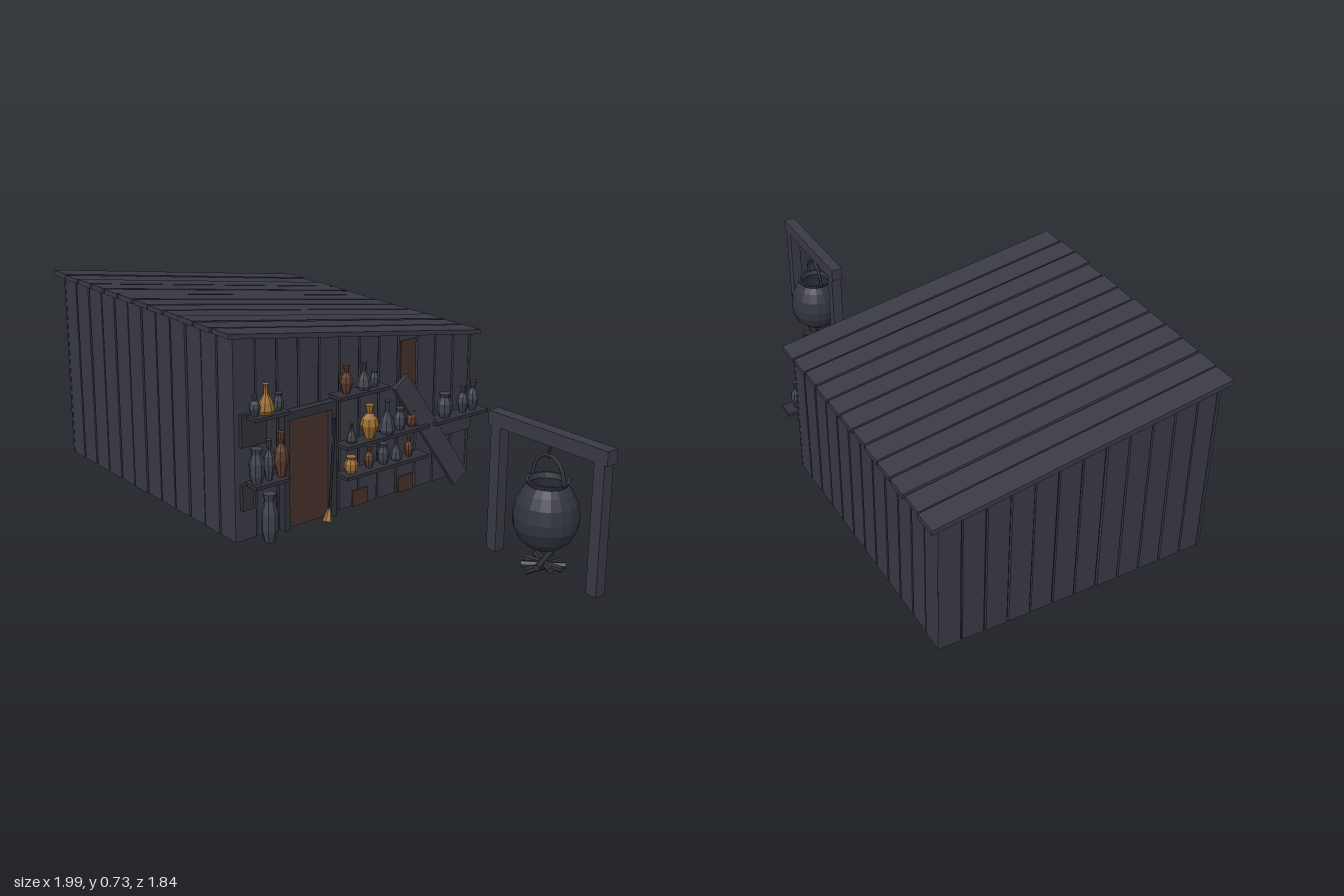
import * as THREE from 'three';

const mat = (name, color) => {
  const m = new THREE.MeshStandardMaterial({ color });
  m.name = name;
  return m;
};

export function createModel() {
  const wood = mat('slate wood', 0x3a3a46);
  const shade = mat('dark gap', 0x212127);
  const trim = mat('dark trim wood', 0x30303a);
  const brown = mat('brown wood', 0x46302a);
  const iron = mat('iron', 0x32343f);
  const glass = mat('grey glass', 0x3f424d);
  const amber = mat('amber glass', 0x5c3a2b);
  const gold = mat('gold glass', 0x9a6c30);

  const model = new THREE.Group();
  // Everything is laid out square, then turned 45 degrees: x along the shop front, z outwards
  const yard = new THREE.Group();
  yard.name = 'yard';
  yard.rotation.y = Math.PI / 4;
  model.add(yard);

  let seed = 7;
  const rnd = () => (seed = (seed * 16807) % 2147483647) / 2147483647;

  const add = (name, geo, m, parent = yard) => {
    const mesh = new THREE.Mesh(geo, m);
    mesh.name = name;
    parent.add(mesh);
    return mesh;
  };
  const faceted = (g) => {
    const f = g.toNonIndexed();
    f.computeVertexNormals();
    return f;
  };
  // Box from its limits
  const box = (name, m, x0, x1, y0, y1, z0, z1, parent) => {
    const b = add(name, new THREE.BoxGeometry(x1 - x0, y1 - y0, z1 - z0), m, parent);
    b.position.set((x0 + x1) / 2, (y0 + y1) / 2, (z0 + z1) / 2);
    return b;
  };
  // Side outline pushed from z0 to z1
  const prism = (name, m, pts, z0, z1, parent) => {
    const s = new THREE.Shape(pts.map((p) => new THREE.Vector2(...p)));
    const p = add(name, new THREE.ExtrudeGeometry(s, { depth: z1 - z0, bevelEnabled: false }), m, parent);
    p.position.z = z0;
    return p;
  };
  const rod = (name, m, a, b, r0, r1, sides, parent) => {
    const A = new THREE.Vector3(...a), B = new THREE.Vector3(...b);
    const d = B.clone().sub(A);
    const c = add(name, faceted(new THREE.CylinderGeometry(r1, r0, d.length(), sides)), m, parent);
    c.position.copy(A).add(B).multiplyScalar(0.5);
    c.quaternion.setFromUnitVectors(new THREE.Vector3(0, 1, 0), d.normalize());
    return c;
  };

  // Shed walls: dark core clad in planks
  const L = -0.58, R = 0.474, B = -0.775, F = 0.32, T = 0.012, N = 12;
  const roofY = (x) => 0.725 - 0.156 * (x + 0.615);
  const under = (x) => roofY(x) - 0.021;
  const shed = new THREE.Group();
  shed.name = 'shed';
  yard.add(shed);
  prism('wallCore', shade, [[L + T, 0], [R - T, 0], [R - T, under(R - T)], [L + T, under(L + T)]], B + T, F - T, shed);
  const gap = 0.004;
  for (let i = 0; i < N; i++) {
    const a = L + ((R - L) * i) / N + (i ? gap : 0), b = L + ((R - L) * (i + 1)) / N - (i < N - 1 ? gap : 0);
    const outline = [[a, 0], [b, 0], [b, under(b)], [a, under(a)]];
    prism('frontPlank', wood, outline, F - T, F - 0.004 * rnd(), shed);
    prism('backPlank', wood, outline, B + 0.004 * rnd(), B + T, shed);
    const c = B + ((F - B) * i) / N + (i ? gap : 0), d = B + ((F - B) * (i + 1)) / N - (i < N - 1 ? gap : 0);
    box('tallSidePlank', wood, L + 0.004 * rnd(), L + T, 0, under(L), c, d, shed);
    box('lowSidePlank', wood, R - T, R - 0.004 * rnd(), 0, under(R), c, d, shed);
  }

  // Sloping roof boards with uneven ends
  const z0 = -0.798, z1 = 0.338, pitch = (z1 - z0) / N;
  for (let i = 0; i < N; i++) {
    const a = -0.615 + 0.008 * rnd(), b = 0.507 - 0.01 * rnd(), lift = -0.005 * rnd();
    prism('roofBoard', wood,
      [[a, under(a)], [b, under(b)], [b, roofY(b) + lift], [a, roofY(a) + lift]],
      z0 + i * pitch + (i ? gap : 0), z0 + (i + 1) * pitch - (i < N - 1 ? gap : 0), shed);
  }

  // Brown replacement planks on the front
  box('brownPlank', brown, 0.13, 0.2, 0.27, 0.565, F, F + 0.004);
  box('brownPatch', brown, 0.13, 0.2, 0, 0.06, F, F + 0.004);
  box('brownPatch', brown, -0.085, -0.015, 0, 0.06, F, F + 0.004);

  // Door with frame
  box('door', brown, -0.38, -0.2, 0, 0.39, F, F + 0.009);
  for (const x of [-0.4, -0.2]) box('doorPost', trim, x, x + 0.022, 0, 0.39, F, F + 0.03);
  box('doorLintel', trim, -0.4, -0.178, 0.39, 0.418, F, F + 0.03);

  // Broom beside the door
  rod('broomStick', trim, [-0.22, 0.05, 0.365], [-0.19, 0.36, 0.352], 0.005, 0.005, 6);
  rod('broomHead', gold, [-0.235, 0, 0.37], [-0.22, 0.04, 0.362], 0.018, 0.006, 6);

  // Wall shelves: left, right, top edge height
  for (const [a, b, y] of [[-0.54, -0.4, 0.437], [-0.54, -0.4, 0.205], [-0.19, 0.03, 0.437],
    [-0.16, 0.22, 0.255], [-0.16, 0.22, 0.145], [0.25, 0.51, 0.255]])
    box('shelf', trim, a, b, y - 0.012, y, F, 0.385);
  box('shelfBackBoard', trim, -0.56, -0.46, 0.33, 0.44, F, 0.335);
  box('shelfBackBoard', trim, -0.56, -0.515, 0.11, 0.2, F, 0.335);
  box('shelfBackBoard', wood, 0.25, 0.46, 0.18, 0.243, F, 0.345);

  // Leaning board
  const lean = add('leaningBoard', new THREE.BoxGeometry(0.075, 0.49, 0.018), wood);
  lean.position.set(0.243, 0.222, 0.362);
  lean.rotation.set(-0.09, 0, 0.575);

  // Bottles: radius and height fractions for each kind
  const kinds = {
    flask: [[0, 0], [0.8, 0], [1, 0.12], [0.75, 0.4], [0.3, 0.65], [0.25, 0.92], [0.4, 1], [0, 1]],
    jar: [[0, 0], [0.65, 0], [1, 0.25], [1, 0.6], [0.6, 0.85], [0.8, 1], [0, 1]],
    vase: [[0, 0], [0.5, 0], [1, 0.4], [0.8, 0.6], [0.3, 0.75], [0.5, 1], [0, 1]],
  };
  const bottle = (kind, m, x, y, r, h, z = 0.352) => {
    const pts = kinds[kind].map(([a, b]) => new THREE.Vector2(a * r, b * h));
    add(kind, faceted(new THREE.LatheGeometry(pts, 8)), m).position.set(x, y, z);
  };
  for (const b of [
    // upper left and lower left shelves
    ['flask', gold, -0.475, 0.437, 0.03, 0.1], ['jar', glass, -0.425, 0.437, 0.017, 0.06],
    ['vase', glass, -0.52, 0.437, 0.02, 0.07],
    ['jar', glass, -0.515, 0.205, 0.026, 0.12], ['vase', glass, -0.465, 0.205, 0.021, 0.14],
    ['vase', amber, -0.415, 0.205, 0.027, 0.155],
    // shelf over the middle
    ['vase', amber, -0.14, 0.437, 0.024, 0.1], ['flask', glass, -0.062, 0.437, 0.027, 0.095],
    ['jar', glass, -0.015, 0.437, 0.016, 0.06],
    // middle shelf
    ['flask', glass, -0.115, 0.255, 0.02, 0.07], ['vase', gold, -0.035, 0.255, 0.033, 0.12],
    ['flask', glass, 0.045, 0.255, 0.03, 0.12], ['jar', glass, 0.105, 0.255, 0.022, 0.08],
    ['jar', amber, 0.16, 0.255, 0.018, 0.06],
    // lower shelf
    ['jar', gold, -0.116, 0.145, 0.024, 0.06], ['vase', amber, -0.035, 0.145, 0.02, 0.08],
    ['jar', glass, 0.03, 0.145, 0.021, 0.075], ['flask', glass, 0.09, 0.145, 0.022, 0.085],
    ['vase', amber, 0.15, 0.145, 0.018, 0.075],
    // right shelf
    ['jar', glass, 0.32, 0.255, 0.028, 0.09], ['vase', glass, 0.41, 0.255, 0.023, 0.1],
    ['vase', glass, 0.46, 0.255, 0.024, 0.11],
    // jar standing on the ground
    ['jar', glass, -0.484, 0, 0.029, 0.17, 0.378],
  ]) bottle(...b);

  // Cauldron gallows
  const fire = new THREE.Group();
  fire.name = 'cauldronStand';
  fire.position.set(0.057, 0, 1.087);
  yard.add(fire);
  box('beam', wood, -0.022, 0.022, 0.425, 0.472, -0.241, 0.241, fire);
  for (const s of [-1, 1]) box('post', wood, -0.02, 0.02, 0, 0.425, s * 0.21 - 0.02, s * 0.21 + 0.02, fire);
  rod('hook', iron, [0, 0.375, 0], [0, 0.43, 0], 0.005, 0.005, 6, fire);

  // Cauldron, open at the top with an inner wall
  const pot = [[0, 0.08], [0.05, 0.086], [0.084, 0.115], [0.102, 0.155], [0.105, 0.19], [0.097, 0.235],
    [0.08, 0.27], [0.063, 0.292], [0.07, 0.307], [0.06, 0.307], [0.055, 0.29], [0.08, 0.22], [0, 0.2]];
  add('cauldron', faceted(new THREE.LatheGeometry(pot.map((p) => new THREE.Vector2(...p)), 18)), iron, fire);
  const arc = new THREE.CatmullRomCurve3([[-0.066, 0.3], [-0.056, 0.345], [-0.03, 0.377], [0, 0.386],
    [0.03, 0.377], [0.056, 0.345], [0.066, 0.3]].map(([a, y]) => new THREE.Vector3(a * 0.7071, y, -a * 0.7071)));
  // the handle faces the viewer midway between beam and front
  const handle = add('handle', new THREE.TubeGeometry(arc, 16, 0.006, 6), iron, fire);
  handle.rotation.y = Math.PI / 4;

  // Crossed fire logs
  for (let i = 0; i < 5; i++) {
    const a = (i * Math.PI) / 5 + 0.2, c = Math.cos(a) * 0.07, s = Math.sin(a) * 0.07, y = 0.012 + 0.005 * i;
    rod('fireLog', trim, [-c, y, -s], [c, y + 0.004, s], 0.012, 0.011, 6, fire);
  }
  return model;
}
